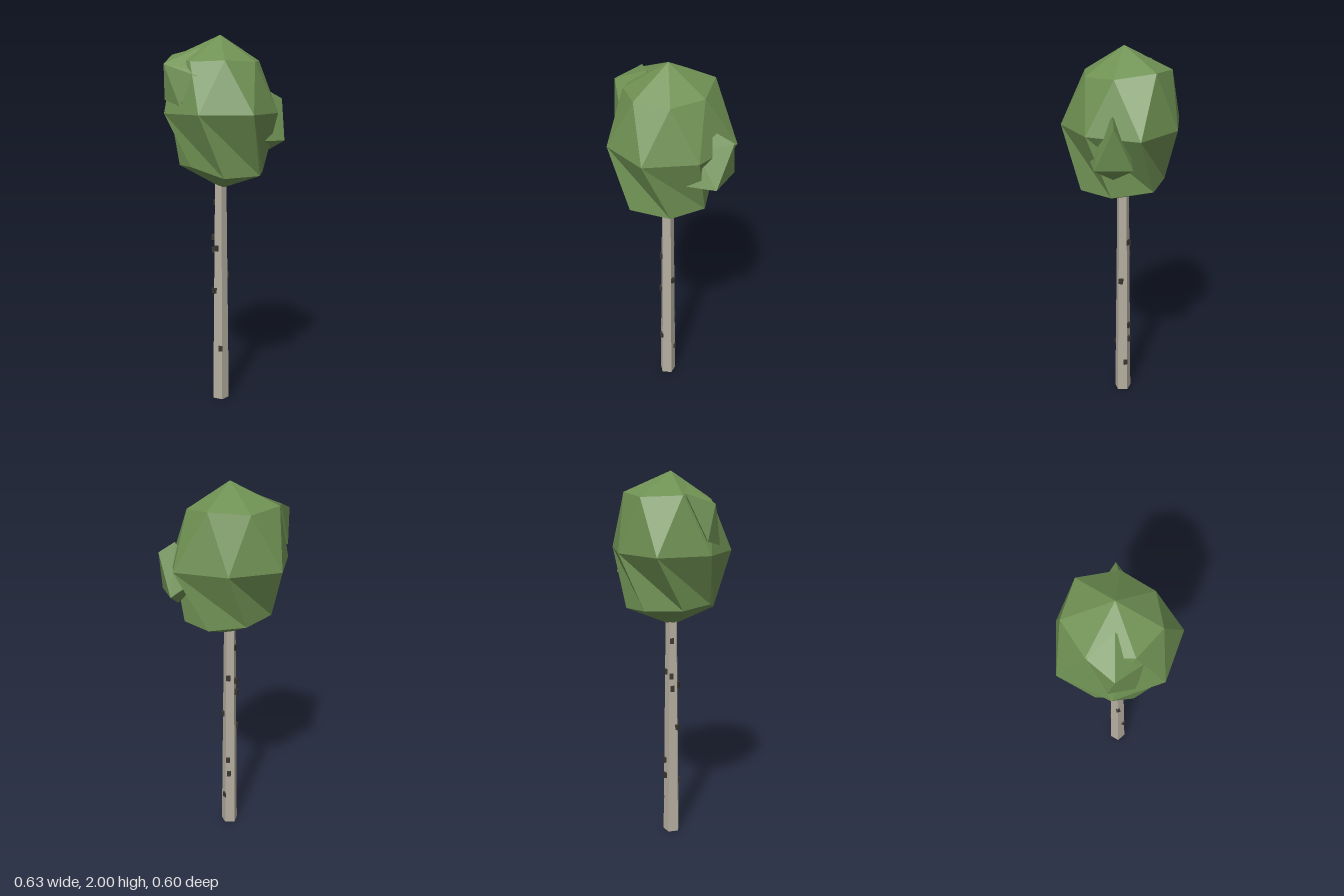
import * as THREE from 'three';
import { ConvexGeometry } from 'three/addons/geometries/ConvexGeometry.js';

const flat = (name, color) => {
  const m = new THREE.MeshStandardMaterial({ color, flatShading: true });
  m.name = name;
  return m;
};
const V = (p) => new THREE.Vector3(...p);

// Faceted crown: an apex, three staggered rings of seven points, and a base point
function crownGeometry() {
  const apex = [-0.02, 2, -0.01], base = [-0.01, 1.2, 0];
  const upper = [
    [-0.27, 1.89, -0.01], [-0.17, 1.88, -0.2], [0.03, 1.895, -0.245], [0.175, 1.87, -0.1],
    [0.17, 1.86, 0.085], [0.03, 1.865, 0.205], [-0.15, 1.86, 0.17],
  ];
  const middle = [
    [-0.318, 1.6, -0.15], [-0.087, 1.6, -0.298], [0.195, 1.6, -0.28], [0.285, 1.6, -0.01],
    [0.18, 1.6, 0.245], [-0.09, 1.6, 0.297], [-0.295, 1.6, 0.13],
  ];
  const lower = [
    [-0.24, 1.32, 0], [-0.15, 1.31, -0.18], [0.03, 1.295, -0.24], [0.2, 1.28, -0.1],
    [0.2, 1.28, 0.1], [0.03, 1.28, 0.24], [-0.15, 1.33, 0.17],
  ];
  const n = 7, pos = [];
  const tri = (...pts) => pts.forEach((p) => pos.push(...p));
  for (let j = 0; j < n; j++) {
    const next = (j + 1) % n, prev = (j + n - 1) % n;
    tri(apex, upper[next], upper[j]);
    tri(upper[j], upper[next], middle[j]);
    tri(upper[j], middle[j], middle[prev]);
    tri(middle[prev], middle[j], lower[prev]);
    tri(middle[j], lower[j], lower[prev]);
    tri(base, lower[j], lower[next]);
  }
  const g = new THREE.BufferGeometry();
  g.setAttribute('position', new THREE.Float32BufferAttribute(pos, 3));
  g.computeVertexNormals();
  return g;
}

export function createModel() {
  const tree = new THREE.Group();
  tree.name = 'tree';
  const leaf = flat('leaf green', 0x6f9153);
  const bark = flat('pale bark', 0xb5ada0);
  const mark = flat('dark bark mark', 0x3a3631);
  const add = (name, geometry, material) => {
    const mesh = new THREE.Mesh(geometry, material);
    mesh.name = name;
    tree.add(mesh);
    return mesh;
  };

  add('crown', crownGeometry(), leaf);

  // Leaf clumps pushing out of the crown
  add('leftClump', new ConvexGeometry([
    [0.23, 1.71, -0.135], [0.295, 1.67, -0.195], [0.317, 1.45, -0.09], [0.22, 1.46, -0.255],
    [0.22, 1.39, -0.13], [0.2, 1.455, 0.04], [0.2, 1.62, -0.04], [0.08, 1.55, -0.12],
  ].map(V)), leaf);
  add('rightClump', new ConvexGeometry([
    [-0.29, 1.85, 0.147], [-0.275, 1.9, 0], [-0.12, 1.935, 0.048], [-0.09, 1.81, 0.19],
    [-0.11, 1.79, 0.21], [-0.2, 1.64, 0.2], [-0.295, 1.67, 0.11], [-0.15, 1.72, 0.08],
  ].map(V)), leaf);

  // Five-sided tapering trunk with one edge facing +x
  const trunk = add('trunk', new THREE.CylinderGeometry(0.032, 0.047, 1.3, 5, 1, false, Math.PI / 2), bark);
  trunk.position.set(-0.02, 0.65, -0.005);

  // Small dark marks scattered over the bark
  const markShape = new THREE.BoxGeometry(0.022, 0.03, 0.022);
  [
    [-0.045, 1.12, -0.01], [-0.055, 0.925, -0.015], [-0.055, 0.855, -0.01], [-0.037, 0.87, 0.022],
    [0.012, 0.715, -0.017], [-0.048, 0.63, 0.018], [-0.015, 0.3, 0.032], [-0.02, 0.945, -0.033],
    [-0.02, 0.43, -0.041], [-0.025, 0.34, -0.042], [-0.003, 0.19, -0.036],
  ].forEach((p) => {
    const m = add('barkMark', markShape, mark);
    m.position.set(...p);
    m.rotation.y = Math.atan2(p[0] + 0.02, p[2] + 0.005);
  });
  return tree;
}
